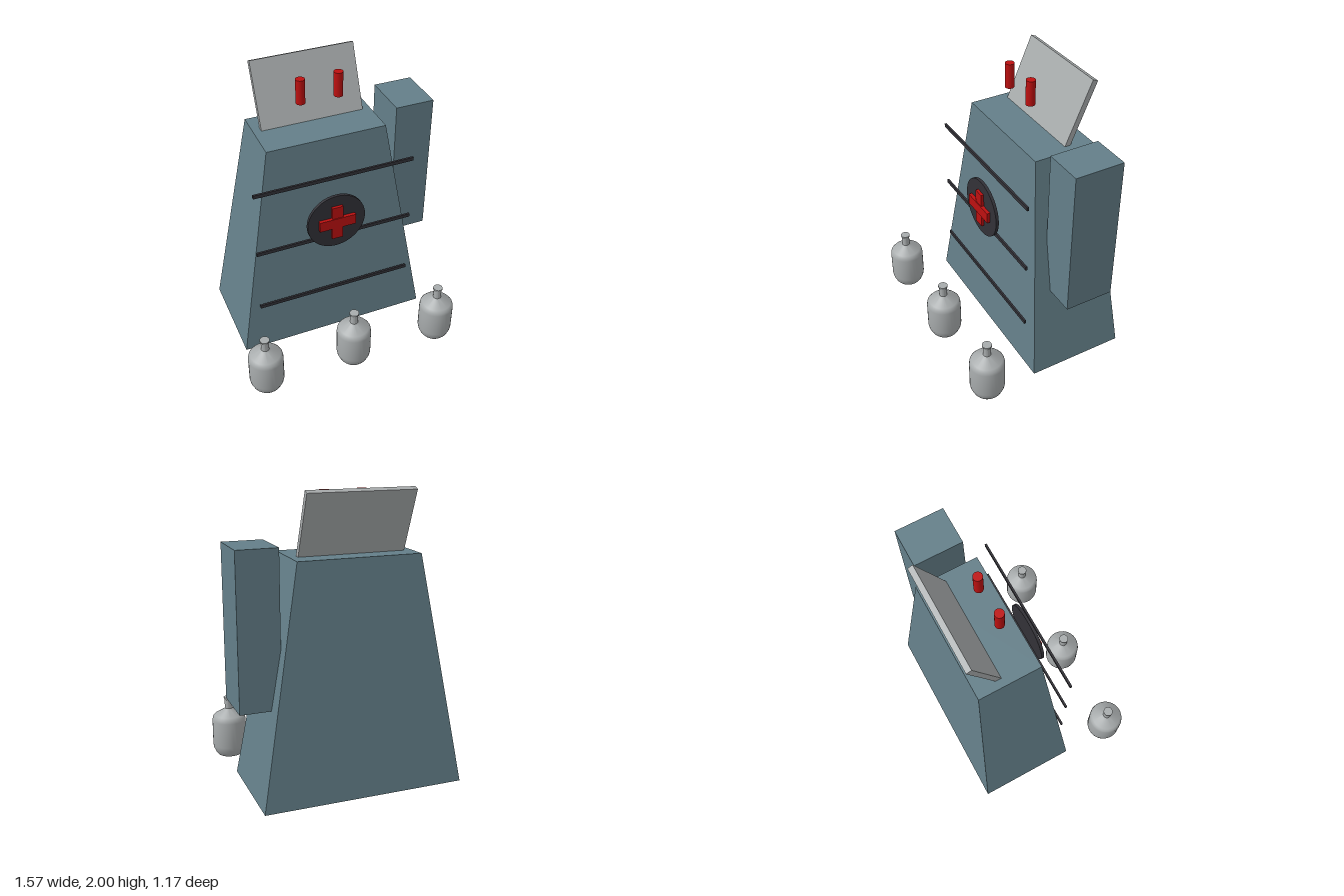
import * as THREE from 'three';
import { toCreasedNormals } from 'three/addons/utils/BufferGeometryUtils.js';

export function createModel() {
  const model = new THREE.Group();
  model.name = 'model';
  const material = (name, color) => {
    const m = new THREE.MeshStandardMaterial({ color });
    m.name = name;
    return m;
  };
  const slate = material('slate blue', 0x647f89);
  const grey = material('light grey', 0xa8acad);
  const dark = material('charcoal', 0x323137);
  const red = material('red', 0xbd1010);

  const add = (name, geometry, mat, x, y, z) => {
    const mesh = new THREE.Mesh(geometry, mat);
    mesh.name = name;
    mesh.position.set(x, y, z);
    model.add(mesh);
    return mesh;
  };
  // Box given by its lower and upper limits
  const box = (name, mat, [x0, x1], [y0, y1], [z0, z1]) =>
    add(name, new THREE.BoxGeometry(x1 - x0, y1 - y0, z1 - z0), mat,
      (x0 + x1) / 2, (y0 + y1) / 2, (z0 + z1) / 2);

  const cx = -0.01;

  // Tapered body: a box with its upper corners drawn in
  const bodyGeo = new THREE.BoxGeometry(1.39, 1.575, 0.695);
  const p = bodyGeo.attributes.position;
  for (let i = 0; i < p.count; i++) {
    if (p.getY(i) > 0) {
      p.setX(i, Math.sign(p.getX(i)) * 0.42);
      p.setZ(i, Math.sign(p.getZ(i)) * 0.218);
    }
  }
  bodyGeo.computeVertexNormals();
  add('body', bodyGeo, slate, cx, 0.7875, -0.237);

  // Side box on the left
  box('sideBox', slate, [0.507, 0.783], [0.62, 1.66], [-0.408, -0.063]);

  // Head panel leaning back, its foot sunk into the body
  const tilt = 0.403, length = 0.48, thick = 0.039;
  const panelGeo = new THREE.BoxGeometry(0.73, length, thick);
  panelGeo.translate(0, -length / 2, -thick / 2);
  add('headPanel', panelGeo, grey, cx, 2, -0.45).rotation.x = -tilt;

  // Floating eyes
  for (const side of [-1, 1]) {
    add('eye', new THREE.CylinderGeometry(0.031, 0.031, 0.172, 32), red,
      cx + side * 0.131, 1.885, -0.15);
  }

  // Front bars
  for (const y of [0.397, 0.878, 1.358]) {
    box('frontBar', dark, [-0.578, 0.558], [y - 0.013, y + 0.013], [0.11, 0.124]);
  }

  // Round badge with a cross
  const badge = new THREE.CylinderGeometry(0.21, 0.21, 0.021, 48);
  badge.rotateX(Math.PI / 2);
  add('badge', badge, dark, cx, 1.01, 0.1315);
  box('crossUpright', red, [cx - 0.039, cx + 0.039], [0.88, 1.14], [0.137, 0.162]);
  box('crossBar', red, [cx - 0.131, cx + 0.131], [0.971, 1.049], [0.144, 0.168]);

  // Row of bottles
  const profile = [
    [0, 0], [0.09, 0], [0.102, 0.016], [0.116, 0.048], [0.121, 0.075], [0.121, 0.262],
    [0.117, 0.285], [0.103, 0.302], [0.04, 0.338], [0.028, 0.35], [0.027, 0.415],
    [0.033, 0.424], [0.033, 0.434], [0, 0.434],
  ].map(([x, y]) => new THREE.Vector2(x, y));
  const bottleGeo = toCreasedNormals(new THREE.LatheGeometry(profile, 32), 0.6);
  for (const side of [-1, 0, 1]) {
    add('bottle', bottleGeo, grey, cx + side * 0.655, 0, 0.46);
  }

  return model;
}
